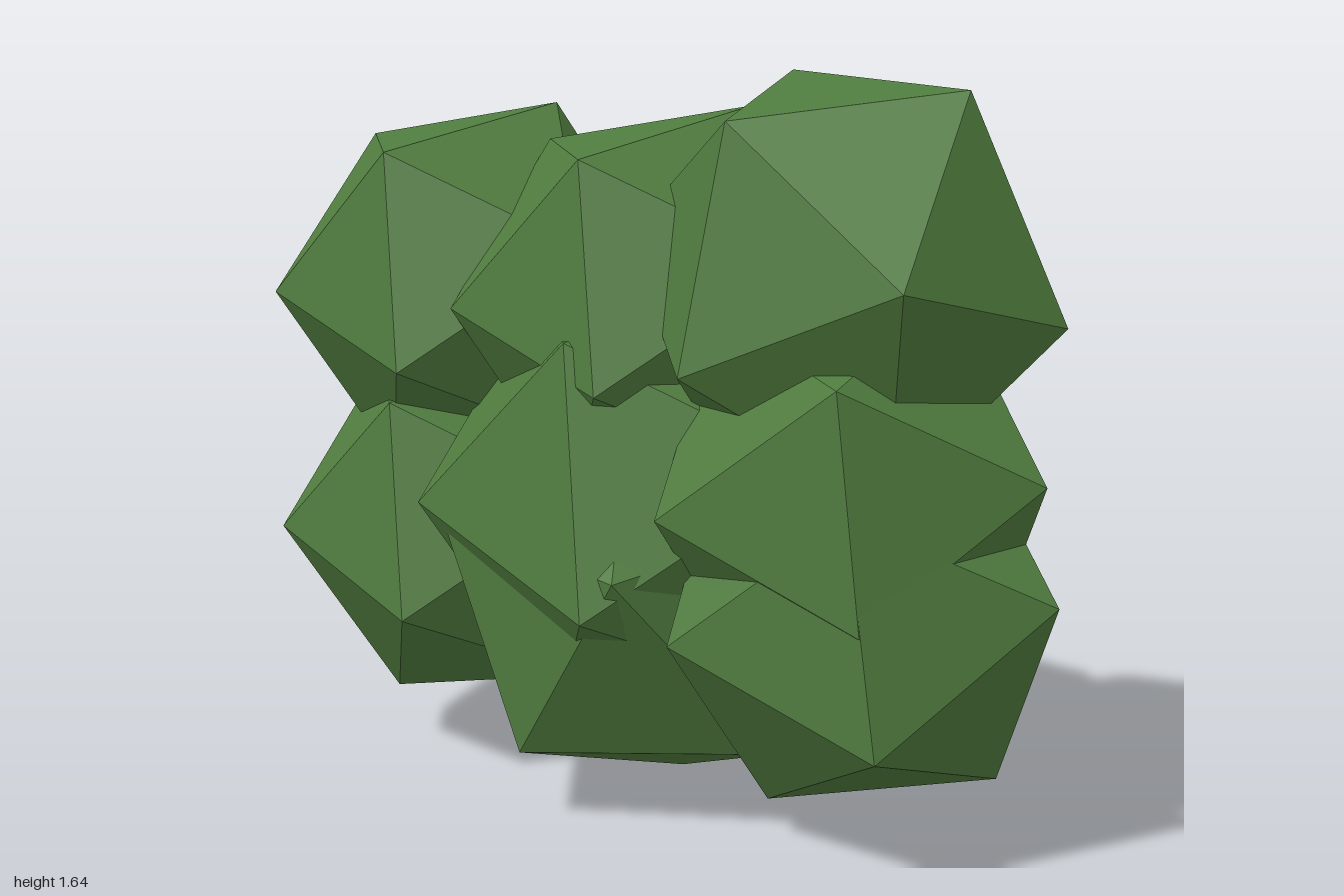
import * as THREE from 'three';

// Orthonormal frame whose x axis is the pole and whose xy plane holds the hint
function frame(pole, hint) {
  const x = pole.clone().normalize();
  const z = new THREE.Vector3().crossVectors(x, hint).normalize();
  const y = new THREE.Vector3().crossVectors(z, x);
  return new THREE.Matrix4().makeBasis(x, y, z);
}

// Icosahedron with one corner along pole and a neighbouring corner towards hint
function clumpGeometry(radius, pole, hint, widthScale) {
  const t = (1 + Math.sqrt(5)) / 2;
  const source = frame(new THREE.Vector3(0, 1, t), new THREE.Vector3(0, -1, t)).invert();
  const target = frame(new THREE.Vector3(...pole), new THREE.Vector3(...hint));
  const geometry = new THREE.IcosahedronGeometry(radius, 0);
  geometry.applyMatrix4(target.multiply(source));
  geometry.scale(widthScale, 1, 1);
  geometry.computeVertexNormals();
  return geometry;
}

export function createModel() {
  const group = new THREE.Group();
  group.name = 'hedge';

  const leafGreen = new THREE.MeshStandardMaterial({ color: 0x4f7b3e });
  leafGreen.name = 'leafGreen';
  leafGreen.flatShading = true;

  const side = [1, 0, 0];
  const back = [0, 0.737, -0.676];
  // name, centre, radius, pole, hint, width scale
  const clumps = [
    ['frontTopClump', [0, 1.204, 0.468], 0.495, [0, 0.795, 0.606], side, 0.87],
    ['frontMiddleClump', [0, 0.763, 0.503], 0.463, [0, 0.125, 0.992], side, 1],
    ['frontBottomClump', [0, 0.51, 0.535], 0.468, [0, 0.148, 0.989], side, 0.985],
    ['middleTopClump', [0, 1.13, 0], 0.472, back, side, 0.985],
    ['middleClump', [0, 0.7, 0.01], 0.555, [0.5, 0.185, -0.16], [0.41, 0.02, 0.38], 1],
    ['middleBottomClump', [0, 0.505, 0], 0.527, [0.14, -0.505, -0.04], [0.47, -0.095, -0.23], 1],
    ['backTopClump', [0, 1.13, -0.56], 0.472, back, side, 0.985],
    ['backBottomClump', [0, 0.565, -0.56], 0.472, back, side, 0.985],
  ];

  for (const [name, centre, radius, pole, hint, width] of clumps) {
    const mesh = new THREE.Mesh(clumpGeometry(radius, pole, hint, width), leafGreen);
    mesh.name = name;
    mesh.position.set(...centre);
    group.add(mesh);
  }
  return group;
}
